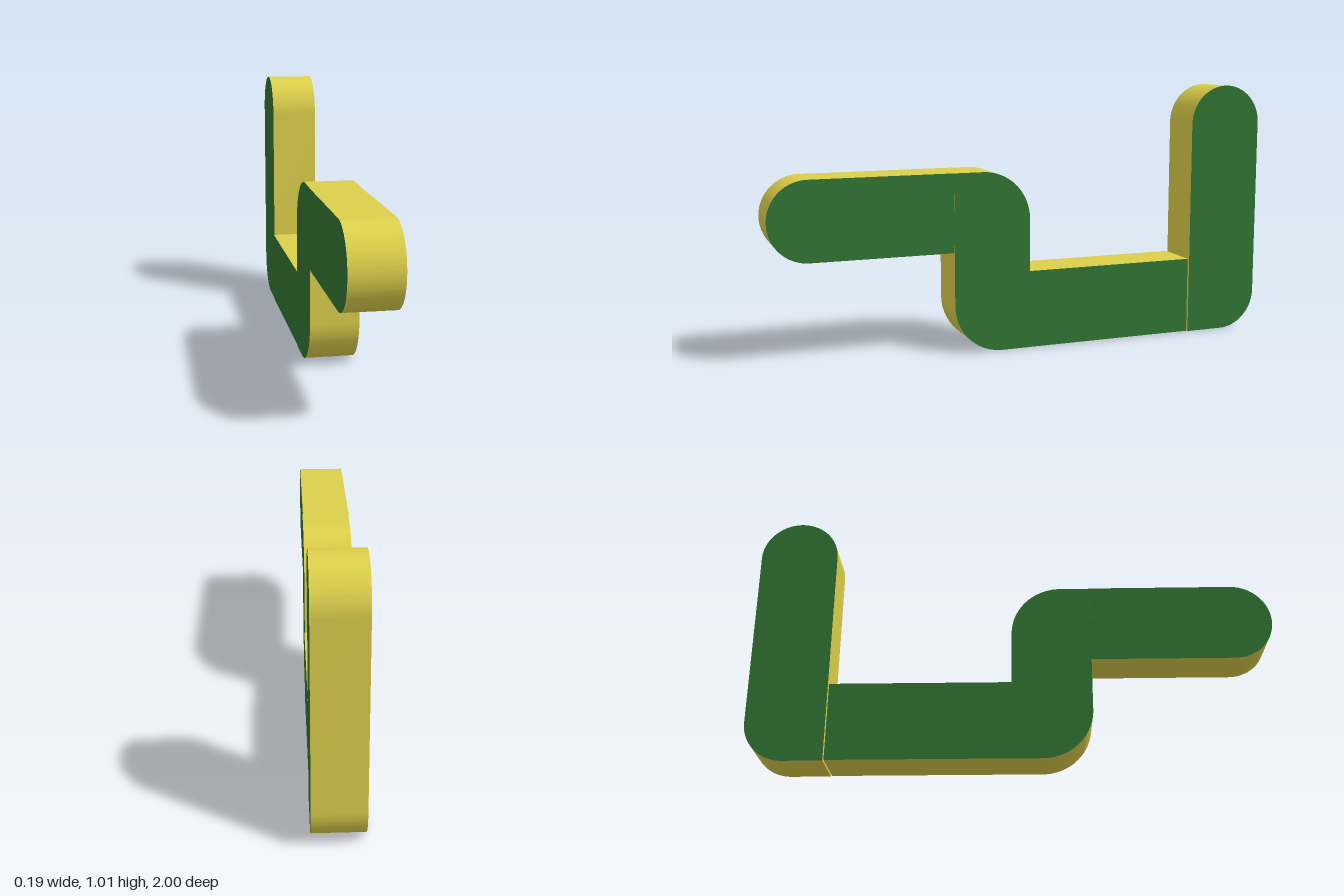
import * as THREE from 'three';
import { toCreasedNormals } from 'three/addons/utils/BufferGeometryUtils.js';

const WIDTH = 0.187;

// Rectangle in (u = -z, y) with its own radius at each corner
function roundedProfile(u0, u1, y0, y1, { bl = 0, br = 0, tr = 0, tl = 0 }) {
  const s = new THREE.Shape();
  s.moveTo(u0 + bl, y0);
  s.lineTo(u1 - br, y0);
  if (br) s.absarc(u1 - br, y0 + br, br, -Math.PI / 2, 0);
  s.lineTo(u1, y1 - tr);
  if (tr) s.absarc(u1 - tr, y1 - tr, tr, 0, Math.PI / 2);
  s.lineTo(u0 + tl, y1);
  if (tl) s.absarc(u0 + tl, y1 - tl, tl, Math.PI / 2, Math.PI);
  s.lineTo(u0, y0 + bl);
  if (bl) s.absarc(u0 + bl, y0 + bl, bl, Math.PI, Math.PI * 1.5);
  return s;
}

export function createModel() {
  const group = new THREE.Group();
  const green = new THREE.MeshStandardMaterial({ color: 0x317332 });
  green.name = 'green sides';
  const yellow = new THREE.MeshStandardMaterial({ color: 0xdccf4b });
  yellow.name = 'yellow rim';

  // Extrudes a profile across x: green flat sides, yellow rim
  function addSegment(name, x, profile) {
    let geo = new THREE.ExtrudeGeometry(profile, { depth: WIDTH, bevelEnabled: false, curveSegments: 16 });
    geo.translate(0, 0, -WIDTH / 2);
    geo.rotateY(Math.PI / 2);
    geo = toCreasedNormals(geo, 0.5);
    const mesh = new THREE.Mesh(geo, [green, yellow]);
    mesh.name = name;
    mesh.position.x = x;
    group.add(mesh);
  }

  // Each segment sits a hair sideways from its neighbour
  addSegment('frontArm', -0.0045, roundedProfile(-1, -0.304, 0.394, 0.697, { bl: 0.151, tl: 0.151 }));
  addSegment('middlePost', -0.0025, roundedProfile(-0.304, 0, 0, 0.697, { bl: 0.19, tr: 0.19 }));
  addSegment('lowerBar', -0.0005, roundedProfile(0, 0.691, 0.001, 0.304, {}));
  addSegment('backPost', 0.0028, roundedProfile(0.696, 1, 0, 1.006, { br: 0.152, tl: 0.152, tr: 0.152 }));

  return group;
}
